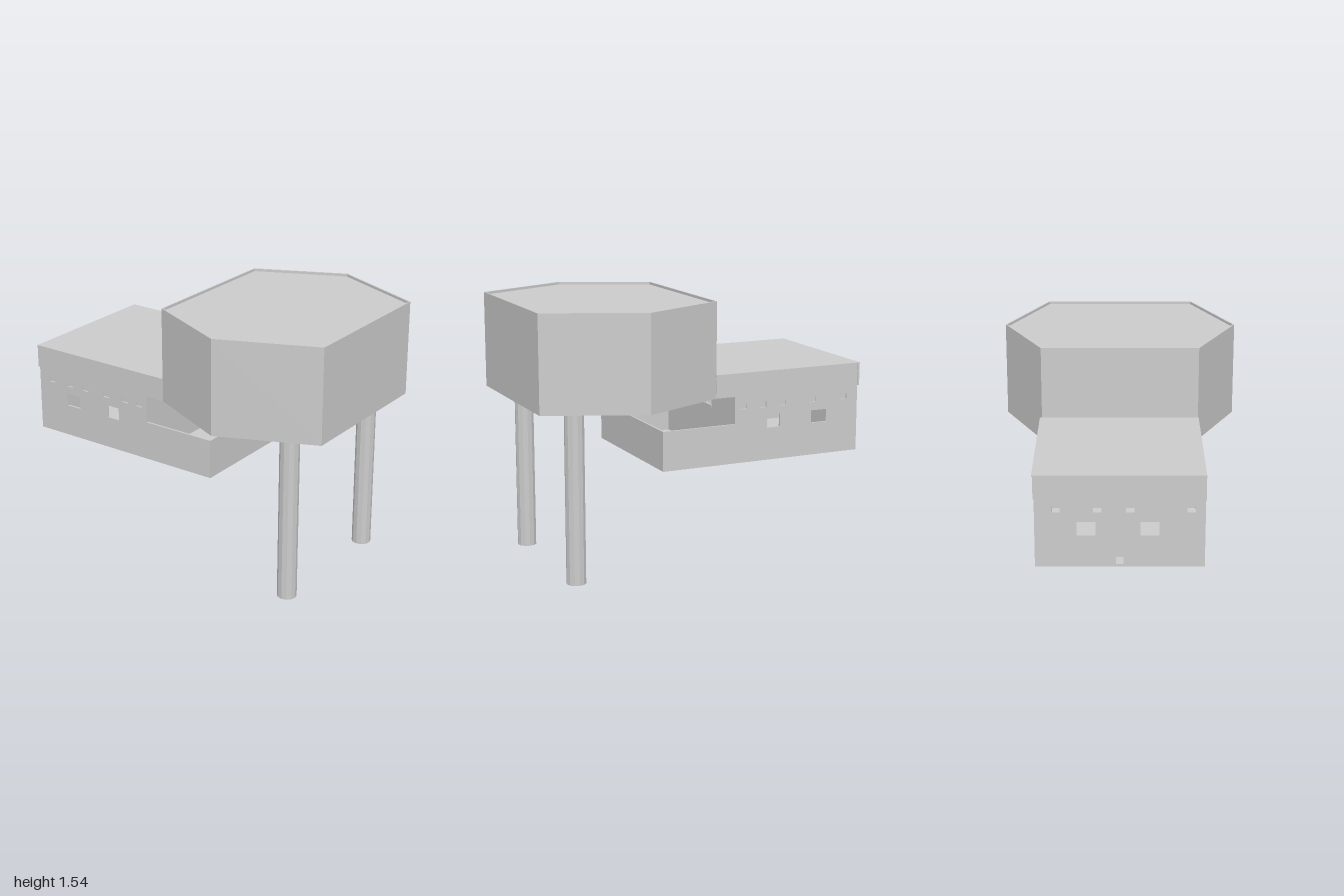
import * as THREE from 'three';

const mat = new THREE.MeshStandardMaterial({ color: 0xcccccc, flatShading: true });
const T = 0.012; // wall thickness

function add(parent, name, geo, x = 0, y = 0, z = 0) {
  const m = new THREE.Mesh(geo, mat);
  m.name = name;
  m.position.set(x, y, z);
  parent.add(m);
  return m;
}

// Box given by its two extreme corners
function slab(parent, name, [x0, y0, z0], [x1, y1, z1]) {
  return add(parent, name, new THREE.BoxGeometry(x1 - x0, y1 - y0, z1 - z0),
    (x0 + x1) / 2, (y0 + y1) / 2, (z0 + z1) / 2);
}

const toPoints = (list) => list.map(([a, b]) => new THREE.Vector2(a, b));

// Flat wall with rectangular openings [centreU, centreY, width, height]
function wallGeometry(outline, openings) {
  const shape = new THREE.Shape(toPoints(outline));
  for (const [u, y, w, h] of openings) {
    shape.holes.push(new THREE.Path(toPoints([
      [u - w / 2, y - h / 2], [u - w / 2, y + h / 2], [u + w / 2, y + h / 2], [u + w / 2, y - h / 2]])));
  }
  return new THREE.ExtrudeGeometry(shape, { depth: T, bevelEnabled: false });
}

// Horizontal plate from an (x, z) outline
function plateGeometry(outline, height, hole) {
  const shape = new THREE.Shape(toPoints(outline.map(([x, z]) => [x, -z])));
  if (hole) shape.holes.push(new THREE.Path(toPoints(hole.map(([x, z]) => [x, -z]))));
  return new THREE.ExtrudeGeometry(shape, { depth: height, bevelEnabled: false }).rotateX(-Math.PI / 2);
}

export function createModel() {
  const model = new THREE.Group();
  model.name = 'stiltHouse';

  // Long wing: hollow shell with an open terrace at its right end
  const wing = new THREE.Group();
  wing.name = 'wing';
  model.add(wing);
  const Z = 0.455;
  const sideOutline = [[-0.99, 0.6], [0.27, 0.6], [0.27, 0.83], [-0.18, 0.83], [-0.18, 0.99],
    [-0.06, 0.99], [-0.06, 1.125], [-0.99, 1.125]];
  const large = [[-0.73, 0.828, 0.1, 0.075], [-0.43, 0.828, 0.085, 0.075]];
  const small = (list, w = 0.045) => list.map((u) => [u, 0.93, w, 0.032]);
  const frontSmall = small([-0.895, -0.755, -0.635, -0.48, -0.34, -0.235]);
  const backSmall = small([-0.895, -0.69, -0.49, -0.36, -0.235]);
  add(wing, 'frontWall', wallGeometry(sideOutline, [...large, ...frontSmall]), 0, 0, Z - T);
  add(wing, 'backWall', wallGeometry(sideOutline, [...large, ...backSmall]), 0, 0, -Z);

  // Set-back panes behind the small windows
  for (const [list, z] of [[frontSmall, Z - T], [backSmall, -Z + T]]) {
    for (const [u, y, w, h] of list) {
      add(wing, 'smallPane', new THREE.BoxGeometry(w + 0.01, h + 0.01, 0.004), u, y, z);
    }
  }

  // Cross walls, drawn in (z, y) and turned to face along x
  const crossWall = (name, x, y0, y1, openings) => {
    const outline = [[-Z + T, y0], [Z - T, y0], [Z - T, y1], [-Z + T, y1]];
    add(wing, name, wallGeometry(outline, openings), x, 0, 0).rotation.y = -Math.PI / 2;
  };
  crossWall('endWall', -0.99 + T, 0.6, 1.125, [
    ...small([-0.34, -0.12, 0.055, 0.38]),
    [-0.18, 0.82, 0.1, 0.075], [0.16, 0.82, 0.1, 0.075], [0, 0.635, 0.04, 0.04]]);
  crossWall('terraceWall', -0.18, 0.6, 0.99, [[-0.025, 0.93, 0.265, 0.11]]);
  crossWall('terraceParapet', 0.27, 0.6, 0.83, []);

  slab(wing, 'floor', [-0.98, 0.6, -Z + 0.002], [0.265, 0.612, Z - 0.002]);
  slab(wing, 'ceiling', [-0.98, 0.99, -Z + 0.002], [-0.04, 1.0, Z - 0.002]);
  slab(wing, 'roof', [-1, 1.117, -0.465], [-0.06, 1.127, 0.457]);
  slab(wing, 'endFascia', [-1, 0.99, -0.46], [-0.988, 1.12, 0.457]);

  // Sill and slanted bars in the terrace opening
  slab(wing, 'openingSill', [-0.192, 0.87, -0.16], [-0.178, 0.884, 0.11]);
  for (const z of [-0.018, -0.062]) {
    add(wing, 'slantedBar', new THREE.BoxGeometry(0.01, 0.12, 0.01), -0.187, 0.933, z).rotation.x = 0.33;
  }

  // Six-sided upper room with a shallow rim around its roof
  const room = new THREE.Group();
  room.name = 'hexagonalRoom';
  model.add(room);
  const hex = [[-0.062, 0.453], [0.447, 0.688], [0.998, 0.453], [0.998, -0.453], [0.447, -0.688], [-0.062, -0.453]];
  const inner = hex.map(([x, z]) => [0.468 + (x - 0.468) * 0.985, z * 0.985]);
  add(room, 'roomBody', plateGeometry(hex, 0.54), 0, 0.99, 0);
  add(room, 'roofRim', plateGeometry(hex, 0.015, inner), 0, 1.53, 0);

  // Round stilts
  for (const z of [0.422, -0.395]) {
    add(model, 'stilt', new THREE.CylinderGeometry(0.056, 0.056, 0.992, 12), 0.778, 0.496, z);
  }
  return model;
}
